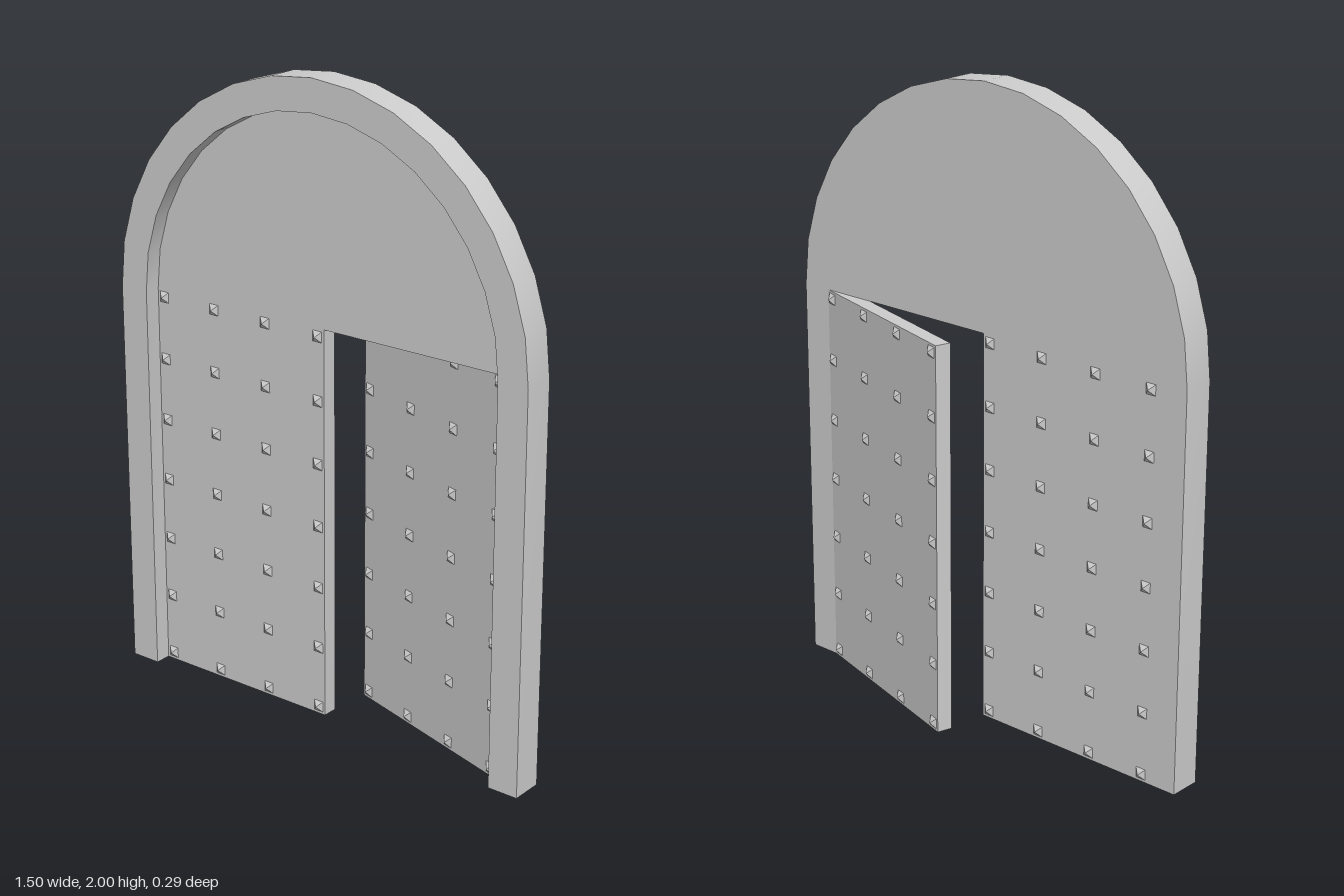
import * as THREE from 'three';
import { toCreasedNormals } from 'three/addons/utils/BufferGeometryUtils.js';

const SPRING = 1.25;   // height where the arch begins
const OUTER = 0.75;
const INNER = 0.65;
const BACK = 0.042;    // z of the rear plane
const DEPTH = 0.103;   // frame depth
const THICK = 0.05;    // door and panel thickness

export function createModel() {
  const model = new THREE.Group();
  model.name = 'archedDoorway';
  const material = new THREE.MeshStandardMaterial({ color: 0xcccccc });

  function addMesh(parent, name, geometry, x = 0, y = 0, z = 0) {
    const mesh = new THREE.Mesh(geometry, material);
    mesh.name = name;
    mesh.position.set(x, y, z);
    parent.add(mesh);
    return mesh;
  }

  function extrude(shape, depth) {
    const geometry = new THREE.ExtrudeGeometry(shape, { depth, curveSegments: 8, bevelEnabled: false });
    return toCreasedNormals(geometry, 0.5);
  }

  // Arched frame: up the outside, back down the inside
  const frame = new THREE.Shape();
  frame.moveTo(OUTER, 0);
  frame.lineTo(OUTER, SPRING);
  frame.absarc(0, SPRING, OUTER, 0, Math.PI, false);
  frame.lineTo(-OUTER, 0);
  frame.lineTo(-INNER, 0);
  frame.lineTo(-INNER, SPRING);
  frame.absarc(0, SPRING, INNER, Math.PI, 0, true);
  frame.lineTo(INNER, 0);
  addMesh(model, 'archFrame', extrude(frame, DEPTH), 0, 0, BACK);

  // Half-round panel above the doors, flush with the back
  const panel = new THREE.Shape();
  panel.absarc(0, SPRING, INNER, 0, Math.PI, false);
  panel.closePath();
  addMesh(model, 'archPanel', extrude(panel, THICK), 0, 0, BACK);

  // Four-sided pyramid stud, apex along +z
  const studSide = 0.034, studHeight = 0.015;
  const studGeometry = new THREE.ConeGeometry(studSide / Math.SQRT2, studHeight, 4, 1, true).toNonIndexed();
  studGeometry.rotateY(Math.PI / 4);
  studGeometry.rotateX(Math.PI / 2);
  studGeometry.translate(0, 0, studHeight / 2);
  studGeometry.computeVertexNormals();

  // Door leaf hung from its rear hinge edge; side is -1 or +1
  function addDoor(name, side, angle) {
    const door = new THREE.Group();
    door.name = name;
    door.position.set(side * INNER, 0, BACK);
    door.rotation.y = angle;
    model.add(door);
    addMesh(door, 'doorLeaf', new THREE.BoxGeometry(INNER, SPRING, THICK),
      -side * INNER / 2, SPRING / 2, THICK / 2);

    // Studs in a grid on both faces
    for (let row = 0; row < 7; row++) {
      for (let col = 0; col < 4; col++) {
        const x = -side * (0.025 + col * 0.2);
        const y = 0.025 + row * 0.2;
        addMesh(door, 'frontStud', studGeometry, x, y, THICK);
        addMesh(door, 'backStud', studGeometry, x, y, 0).rotation.y = Math.PI;
      }
    }
  }
  addDoor('rightDoor', -1, 0);
  addDoor('leftDoor', 1, -THREE.MathUtils.degToRad(16));

  return model;
}
